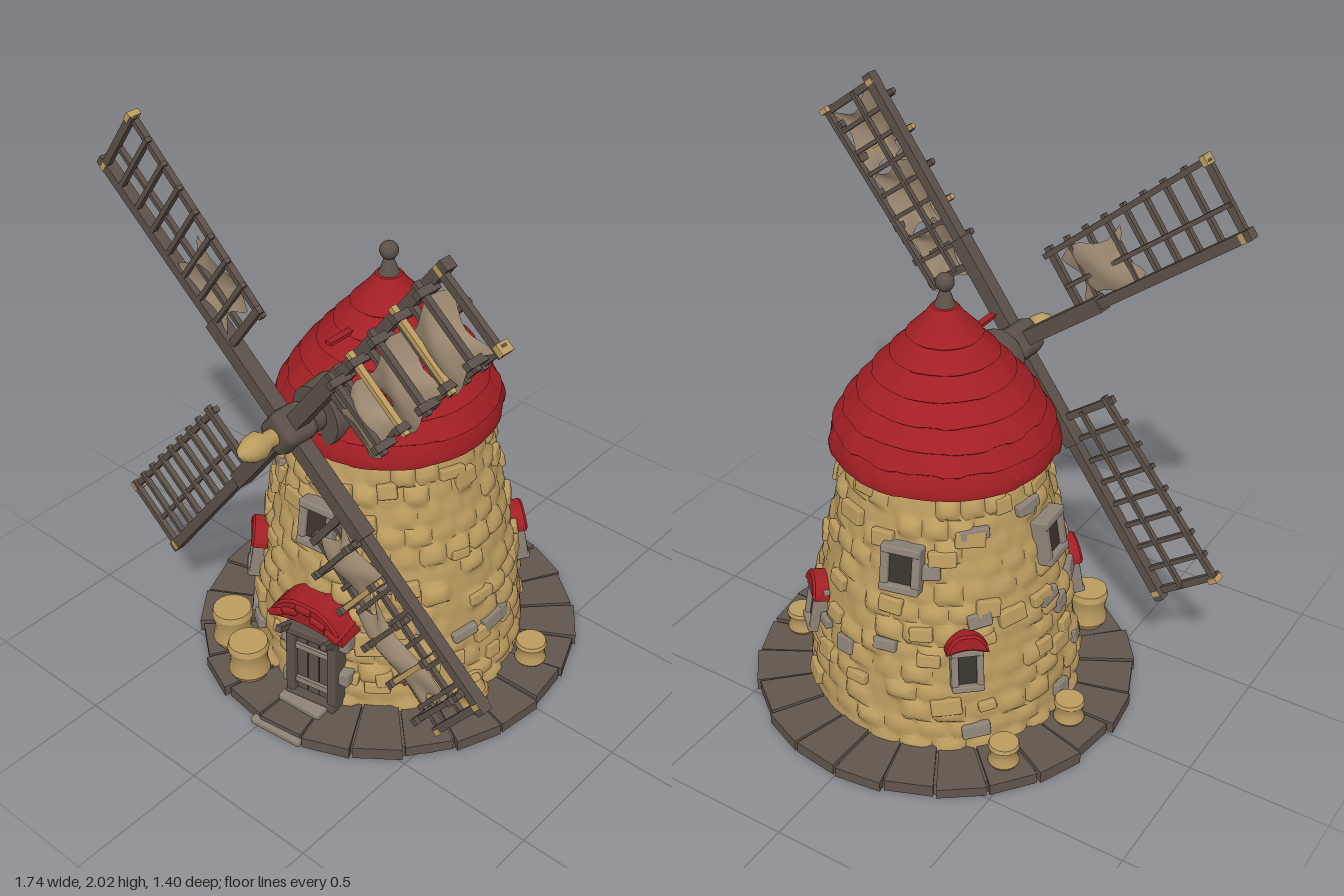
import * as THREE from 'three';
import { mergeGeometries, toCreasedNormals } from 'three/addons/utils/BufferGeometryUtils.js';
import { RoundedBoxGeometry } from 'three/addons/geometries/RoundedBoxGeometry.js';

const mat = (name, color, side = THREE.FrontSide) => new THREE.MeshStandardMaterial({ name, color, side });
const M = {
  stone: mat('sandstone', 0xbd9d60),
  roof: mat('red tile', 0xa31f24),
  wood: mat('weathered wood', 0x5c5149),
  slab: mat('dark paving', 0x62564e),
  grey: mat('pale grey stone', 0x8f8478),
  dark: mat('dark opening', 0x3b342f),
  cloth: mat('sail cloth', 0xa08c74, THREE.DoubleSide),
};

let seed = 7;
const rnd = () => (seed = (seed * 16807) % 2147483647) / 2147483647;
const hash = (a, b) => { const s = Math.sin(a * 127.1 + b * 311.7) * 43758.5453; return s - Math.floor(s); };
const V = (pts) => pts.map(([x, y]) => new THREE.Vector2(x, y));

function add(parent, name, geo, m, x = 0, y = 0, z = 0, rx = 0, ry = 0, rz = 0) {
  const mesh = new THREE.Mesh(geo, m);
  mesh.name = name;
  mesh.position.set(x, y, z);
  mesh.rotation.set(rx, ry, rz);
  parent.add(mesh);
  return mesh;
}
const box = (w, h, d) => new THREE.BoxGeometry(w, h, d);
const block = (w, h, d) => new RoundedBoxGeometry(w, h, d, 1, Math.min(w, h, d) * 0.25);

// Tower profile, and its radius at a height
const WALL = [[0.49, 0.03], [0.47, 0.25], [0.435, 0.5], [0.385, 0.75], [0.325, 1.03]];
function wallRadius(y) {
  for (let i = 1; i < WALL.length; i++) {
    const [r0, y0] = WALL[i - 1], [r1, y1] = WALL[i];
    if (y <= y1) return r0 + (r1 - r0) * (y - y0) / (y1 - y0);
  }
  return 0.325;
}
// Group standing on the wall, +z pointing outwards
function onWall(parent, name, az, y, tilt = -0.17) {
  const g = new THREE.Group(), r = wallRadius(y);
  g.name = name;
  g.rotation.order = 'YXZ';
  g.position.set(Math.sin(az) * r, y, Math.cos(az) * r);
  g.rotation.set(tilt, az, 0);
  parent.add(g);
  return g;
}
// Move the vertices of a lathe in or out by a rule of angle and height
function bulge(geo, rule, crease) {
  const p = geo.attributes.position;
  for (let i = 0; i < p.count; i++) {
    const x = p.getX(i), y = p.getY(i), z = p.getZ(i), r = Math.hypot(x, z);
    if (r < 1e-4) continue;
    const [dr, dy] = rule(Math.atan2(x, z), y), k = (r + dr) / r;
    p.setXYZ(i, x * k, y + dy, z * k);
  }
  return toCreasedNormals(geo, crease);
}

function tower(root) {
  const pts = [];
  for (let i = 0; i <= 60; i++) { const y = 0.03 + i / 60; pts.push([wallRadius(y), y]); }
  const cols = 26;
  const rule = (az, y) => {
    const row = Math.floor(y / 0.075), u = (az / (2 * Math.PI) + 1) * cols + (row % 2) * 0.5;
    const col = Math.floor(u + 1e-4) % cols, fu = u - Math.floor(u), fy = y / 0.075 - row;
    const edge = Math.min(1, 5 * Math.min(fu, 1 - fu)) * Math.min(1, 5 * Math.min(fy, 1 - fy));
    return [edge * hash(row, col) * 0.024 - 0.006, 0];
  };
  add(root, 'towerWall', bulge(new THREE.LatheGeometry(V(pts), 156), rule, 0.9), M.stone);
  // Loose proud stones
  const stones = new THREE.Group();
  stones.name = 'proudStones';
  root.add(stones);
  for (let i = 0; i < 90; i++) {
    const g = onWall(stones, 'stone', rnd() * 6.283, 0.1 + rnd() * 0.86);
    add(g, 'stoneBlock', block(0.06 + rnd() * 0.05, 0.035 + rnd() * 0.03, 0.03), i % 4 ? M.stone : M.grey, 0, 0, 0.004, 0, 0, (rnd() - 0.5) * 0.3);
  }
}

function base(root) {
  add(root, 'baseDisc', new THREE.CylinderGeometry(0.66, 0.67, 0.035, 48), M.slab, 0, 0.0175, 0);
  const n = 24;
  for (let i = 0; i < n; i++) {
    const a0 = (i + 0.03) / n * 2 * Math.PI, a1 = (i + 0.97) / n * 2 * Math.PI, r = 0.675 + rnd() * 0.025;
    const s = new THREE.Shape();
    s.moveTo(0.46 * Math.cos(a0), 0.46 * Math.sin(a0));
    s.lineTo(r * Math.cos(a0), r * Math.sin(a0));
    s.lineTo(r * Math.cos(a1), r * Math.sin(a1));
    s.lineTo(0.46 * Math.cos(a1), 0.46 * Math.sin(a1));
    add(root, 'pavingSlab', new THREE.ExtrudeGeometry(s, { depth: 0.036 + rnd() * 0.012, bevelEnabled: false }), M.slab, 0, 0.004, 0, -Math.PI / 2);
  }
  // Doorstep flags
  add(root, 'doorstep', block(0.21, 0.025, 0.13), M.grey, 0.07, 0.014, 0.63, 0, 0.1);
  add(root, 'doorstepUpper', block(0.18, 0.03, 0.1), M.grey, 0.08, 0.05, 0.53, 0, 0.05);
}

function roof(root) {
  const prof = [[0.3, 1.0], [0.39, 1.0], [0.392, 1.03], [0.37, 1.075], [0.376, 1.08], [0.335, 1.14], [0.341, 1.145], [0.288, 1.205],
    [0.294, 1.21], [0.235, 1.27], [0.241, 1.275], [0.178, 1.335], [0.184, 1.34], [0.122, 1.4], [0.128, 1.405], [0.07, 1.465], [0.045, 1.5], [0, 1.51]];
  const rule = (az, y) => {
    const k = Math.max(0, 1.45 - y) / 0.45, row = Math.floor((y - 1.0) / 0.065);
    const u = Math.floor(((az / (2 * Math.PI) + 1) * 30 + (row % 2) * 0.5) + 1e-4) % 30;
    return [(hash(u, row) - 0.5) * 0.014 * k, y > 1.01 ? (hash(u, row + 9) - 0.5) * 0.012 * k : 0];
  };
  add(root, 'roofTiles', bulge(new THREE.LatheGeometry(V(prof), 90), rule, 0.7), M.roof);
  add(root, 'eavesRing', new THREE.CylinderGeometry(0.35, 0.35, 0.03, 48), M.grey, 0, 1.005, 0);
  add(root, 'finial', new THREE.LatheGeometry(V([[0.05, 1.48], [0.032, 1.51], [0.015, 1.56], [0, 1.57]]), 16), M.wood);
  add(root, 'finialBall', new THREE.SphereGeometry(0.032, 16, 12), M.wood, 0, 1.582, 0);
  // Slipped tiles on the front
  add(root, 'slippedTile', box(0.025, 0.012, 0.14), M.roof, -0.02, 1.35, 0.2);
  add(root, 'slippedTile', box(0.07, 0.015, 0.1), M.roof, 0.17, 1.2, 0.27, 0.5, 0.5);
}

// Curved red tile hood
function hood(parent, w, h, d, y, z) {
  const s = new THREE.Shape();
  s.moveTo(-w / 2, 0);
  s.quadraticCurveTo(-w * 0.4, h * 0.8, -w * 0.15, h);
  s.lineTo(w * 0.15, h);
  s.quadraticCurveTo(w * 0.4, h * 0.8, w / 2, 0);
  s.quadraticCurveTo(0, h * 0.5, -w / 2, 0);
  add(parent, 'hood', new THREE.ExtrudeGeometry(s, { depth: d, bevelEnabled: true, bevelSize: 0.008, bevelThickness: 0.008, bevelSegments: 1 }), M.roof, 0, y, z);
}
function frame(parent, w, h, t, d, m) {
  for (const s of [-1, 1]) {
    add(parent, 'jamb', block(t, h, d), m, s * (w - t) / 2, 0, 0.012);
    add(parent, s < 0 ? 'sill' : 'lintel', block(w, t, d + 0.006), m, 0, s * (h - t) / 2, 0.014);
  }
  add(parent, 'opening', box(w - t, h - t, 0.008), M.dark, 0, 0, 0.022);
}
function openings(root) {
  for (const [az, y] of [[0.1, 0.73], [3.36, 0.73], [-1.5, 0.73]])
    frame(onWall(root, 'upperWindow', az, y), 0.14, 0.17, 0.03, 0.06, M.grey);
  for (const az of [-0.79, 2.41, -2.41]) {
    const g = onWall(root, 'lowerWindow', az, 0.375);
    frame(g, 0.11, 0.16, 0.024, 0.06, M.grey);
    hood(g, 0.13, 0.055, 0.05, 0.075, -0.005);
  }
  // Door
  const d = onWall(root, 'door', 0.18, 0.2, -0.04);
  frame(d, 0.2, 0.32, 0.035, 0.1, M.wood);
  for (let i = -1; i <= 1; i++) add(d, 'doorPlank', box(0.042, 0.26, 0.02), M.wood, i * 0.046, -0.01, 0.028);
  for (const y of [-0.08, 0.07]) add(d, 'doorBrace', box(0.14, 0.022, 0.015), M.grey, 0, y, 0.042);
  for (const [x, y] of [[-0.11, -0.1], [0.11, -0.02], [-0.115, 0.08], [0.11, 0.13]])
    add(d, 'doorStone', block(0.05, 0.06, 0.06), M.grey, x, y, 0.005);
  for (const s of [-1, 1]) add(d, 'hoodBracket', box(0.022, 0.022, 0.12), M.wood, s * 0.09, 0.155, 0.06, -0.4);
  const h = new THREE.Group();
  h.name = 'doorHood';
  h.position.set(0.06, 0.37, 0.4);
  h.rotation.y = 0.12;
  root.add(h);
  hood(h, 0.29, 0.1, 0.12, 0, 0);
  for (let i = -2; i <= 2; i++) add(h, 'hoodTile', block(0.06, 0.025, 0.15), M.roof, i * 0.058, 0.095 - Math.abs(i) * 0.03, 0.065, 0.1, 0, -i * 0.25);
}

// Barrels and pots around the wall
function pots(root) {
  const prof = V([[0, 0], [0.85, 0], [1, 0.15], [0.88, 0.45], [0.9, 0.65], [1, 0.85], [0.92, 1], [0, 1]]);
  for (const [x, z, r, h] of [[-0.47, -0.36, 0.055, 0.09], [-0.55, -0.05, 0.055, 0.09], [0.54, -0.15, 0.057, 0.09], [0.53, 0.17, 0.055, 0.09], [-0.34, 0.47, 0.075, 0.15], [-0.18, 0.55, 0.075, 0.14]]) {
    const b = add(root, 'barrel', toCreasedNormals(new THREE.LatheGeometry(prof, 18), 0.7), M.stone, x, 0.045, z);
    b.scale.set(r, h, r);
  }
  add(root, 'potNeck', new THREE.CylinderGeometry(0.025, 0.045, 0.05, 14), M.stone, 0.53, 0.155, 0.17);
  add(root, 'potHandle', new THREE.TorusGeometry(0.03, 0.007, 6, 16), M.stone, 0.53, 0.175, 0.17, 0, 1.2);
}

// Wind-torn cloth panel in the sail plane
function cloth(parent, x0, x1, y0, y1, bow) {
  const g = new THREE.PlaneGeometry(x1 - x0, y1 - y0, 8, 8), p = g.attributes.position;
  for (let i = 0; i < p.count; i++) {
    const u = p.getX(i) / (x1 - x0), v = p.getY(i) / (y1 - y0);
    p.setXYZ(i, p.getX(i) * (0.92 - 0.18 * Math.cos(v * 6)), p.getY(i) + 0.02 * Math.sin(u * 7), bow * Math.cos(u * 3.14) * Math.cos(v * 2.4));
  }
  g.computeVertexNormals();
  add(parent, 'sailCloth', g, M.cloth, (x0 + x1) / 2, (y0 + y1) / 2, 0.012);
}
function sails(root) {
  const wheel = new THREE.Group();
  wheel.name = 'sailWheel';
  wheel.position.set(0, 1.145, 0.48);
  wheel.rotation.y = -0.06;
  root.add(wheel);
  // Axle, hub and nose
  const q = Math.PI / 2;
  add(wheel, 'axleHousing', new THREE.CylinderGeometry(0.105, 0.115, 0.1, 20), M.wood, 0, -0.01, -0.16, q);
  add(wheel, 'axle', new THREE.CylinderGeometry(0.055, 0.055, 0.35, 16), M.wood, 0, 0, -0.12, q);
  add(wheel, 'hub', block(0.13, 0.13, 0.14), M.wood, 0, 0, 0, 0, 0, 0.9);
  add(wheel, 'hubNose', new THREE.LatheGeometry(V([[0.03, 0.05], [0.03, 0.1], [0.048, 0.13], [0.042, 0.17], [0.025, 0.2], [0, 0.215]]), 16), M.stone, 0, 0, 0, q);
  for (let k = 0; k < 4; k++) {
    const s = new THREE.Group();
    s.name = 'sail';
    s.rotation.z = 0.915 + k * q;
    wheel.add(s);
    const parts = [];
    const bar = (x0, y0, x1, y1, t, d, z = 0) => {
      const g = box(Math.hypot(x1 - x0, y1 - y0), t, d);
      g.rotateZ(Math.atan2(y1 - y0, x1 - x0));
      g.translate((x0 + x1) / 2, (y0 + y1) / 2, z);
      parts.push(g);
    };
    bar(0, 0, 0.42, 0, 0.055, 0.055);
    bar(0.35, 0, 1.07, 0, 0.036, 0.04);
    bar(0.3, -0.225, 1.06, -0.265, 0.02, 0.022);
    bar(0.32, -0.1, 1.05, -0.11, 0.016, 0.018);
    for (let i = 0; i <= 8; i++) {
      const x = 0.32 + i * 0.09;
      bar(x, 0.015, x + 0.004, -0.25 - i * 0.004, i % 8 ? 0.016 : 0.026, 0.02, 0.01);
    }
    add(s, 'sailFrame', mergeGeometries(parts), M.wood);
    // Tan lashings at the corners
    for (const [x, y] of [[1.04, 0], [1.05, -0.265]]) add(s, 'lashing', box(0.02, 0.035, 0.045), M.stone, x, y, 0);
    // Cross battens on the two right-hand sails
    if (k === 0 || k === 3) for (let i = 0; i < 5; i++) {
      const x = 0.42 + i * 0.14;
      add(s, 'batten', box(0.018, 0.29, 0.02), i % 2 ? M.stone : M.wood, x, -0.13, 0.055);
      for (const y of [-0.02, -0.25]) add(s, 'battenPeg', box(0.025, 0.025, 0.08), M.wood, x, y, 0.04);
    }
    if (k === 0) {
      cloth(s, 0.3, 0.52, -0.25, -0.07, 0.05);
      cloth(s, 0.5, 0.78, -0.26, -0.05, 0.05);
      cloth(s, 0.76, 1.02, -0.26, -0.05, 0.05);
    }
    if (k === 1) cloth(s, 0.36, 0.62, -0.2, -0.02, -0.03);
    if (k === 3) {
      cloth(s, 0.34, 0.6, -0.2, -0.03, 0.04);
      cloth(s, 0.58, 0.98, -0.26, -0.12, 0.04);
    }
  }
}

export function createModel() {
  seed = 7;
  const root = new THREE.Group();
  root.name = 'windmill';
  for (const build of [base, tower, roof, openings, pots, sails]) build(root);
  return root;
}
